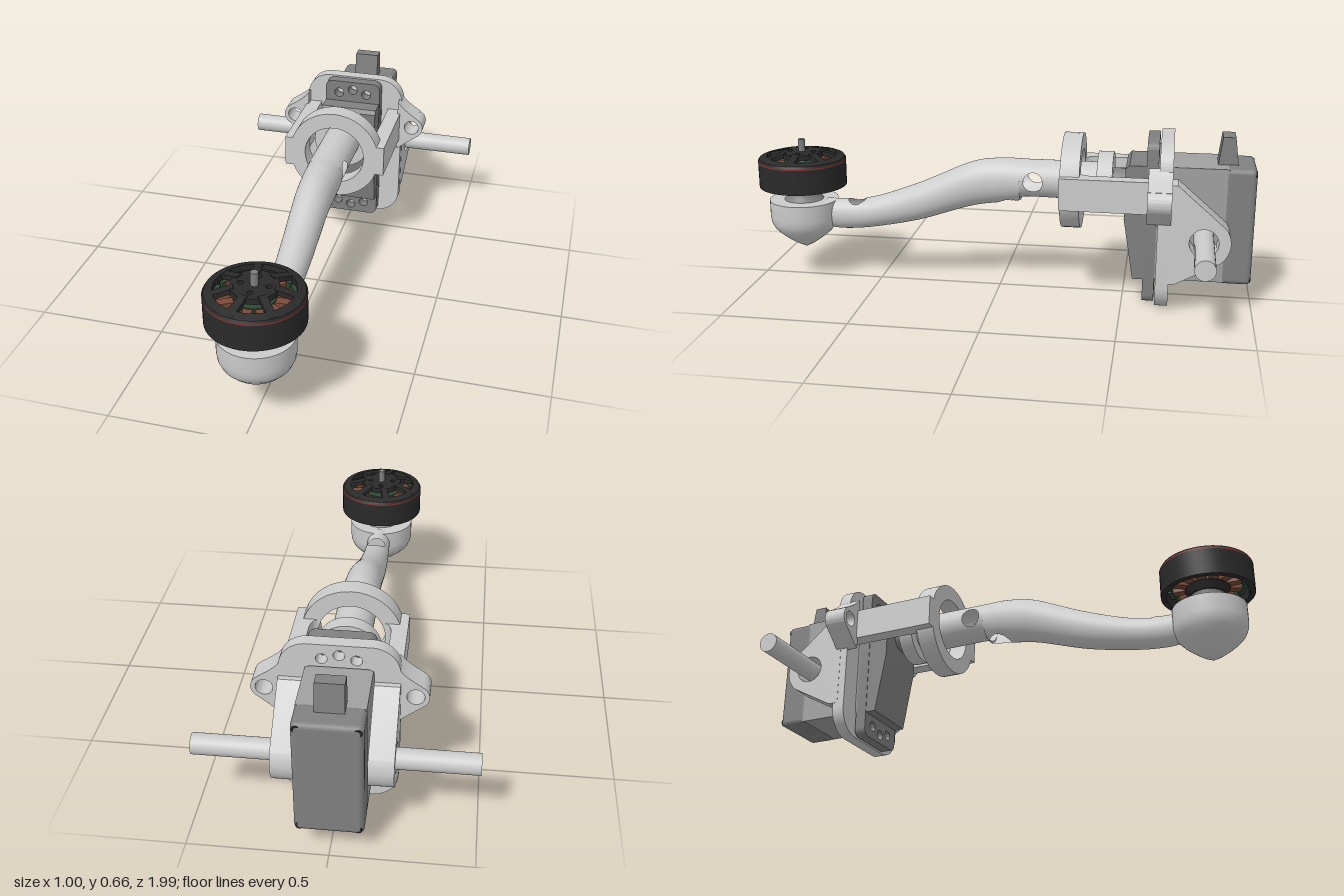
import * as THREE from 'three';
import { RoundedBoxGeometry } from 'three/addons/geometries/RoundedBoxGeometry.js';
import { toCreasedNormals } from 'three/addons/utils/BufferGeometryUtils.js';

const mat = (color) => new THREE.MeshStandardMaterial({ color, side: THREE.DoubleSide });
const grey = mat(0xcccccc), mid = mat(0xa0a0a0), dark = mat(0x808080);
const black = mat(0x2a2a2a), green = mat(0x2f4a35), copper = mat(0x7a4a38), red = mat(0x8a3030);
const V2 = (p) => new THREE.Vector2(p[0], p[1]);
const AXIS_Y = 0.458;

export function createModel() {
  const root = new THREE.Group();

  function add(name, geo, material, x = 0, y = 0, z = 0, parent = root) {
    const m = new THREE.Mesh(geo, material);
    m.name = name;
    m.position.set(x, y, z);
    parent.add(m);
    return m;
  }
  const lathe = (pts, seg = 48) => toCreasedNormals(new THREE.LatheGeometry(pts.map(V2), seg), 0.6);
  const cylZ = (r, len, seg = 40) => new THREE.CylinderGeometry(r, r, len, seg).rotateX(Math.PI / 2);
  const cylX = (r, len, seg = 32) => new THREE.CylinderGeometry(r, r, len, seg).rotateZ(Math.PI / 2);
  const extrude = (shape, depth) =>
    toCreasedNormals(new THREE.ExtrudeGeometry(shape, { depth, bevelEnabled: false, curveSegments: 20 }), 0.5);
  // profile in (-z, y) extruded across x, centred
  const extrudeX = (shape, width) => extrude(shape, width).translate(0, 0, -width / 2).rotateY(Math.PI / 2);

  function roundRect(x0, y0, x1, y1, r, path = new THREE.Shape()) {
    const q = Math.PI / 2;
    path.absarc(x1 - r, y0 + r, r, -q, 0);
    path.absarc(x1 - r, y1 - r, r, 0, q);
    path.absarc(x0 + r, y1 - r, r, q, 2 * q);
    path.absarc(x0 + r, y0 + r, r, 2 * q, 3 * q);
    path.closePath();
    return path;
  }
  const hole = (shape, x, y, r) => shape.holes.push(new THREE.Path().absarc(x, y, r, 0, Math.PI * 2, true));
  const screwHoles = (shape) => {
    for (const [x, y] of [[-0.06, 0.057], [0, 0.04], [0.06, 0.057]]) {
      hole(shape, x, y, 0.02);
      hole(shape, x, 0.65 - y, 0.02);
    }
  };

  // Hollow swept arm with cable and pin holes
  add('arm', armGeometry(), grey);
  add('armFlange', cylZ(0.118, 0.06), grey, 0, AXIS_Y, -0.42);
  add('outputSpline', cylZ(0.055, 0.06, 24), dark, 0, AXIS_Y, -0.475);

  // Pod under the motor
  add('motorPod', lathe([[0, 0.12], [0.04, 0.142], [0.075, 0.167], [0.105, 0.192], [0.126, 0.215],
    [0.137, 0.24], [0.14, 0.265], [0.14, 0.33], [0, 0.33]]), grey, 0, 0, 0.82);
  add('motorNeck', lathe([[0.08, 0.33], [0.066, 0.345], [0.06, 0.365], [0.066, 0.39], [0, 0.39]]), dark, 0, 0, 0.82);

  // Motor
  const motor = new THREE.Group();
  motor.name = 'motor';
  motor.position.z = 0.82;
  root.add(motor);
  add('bell', lathe([[0.155, 0.39], [0.177, 0.39], [0.177, 0.493], [0.155, 0.493], [0.155, 0.39]]), black, 0, 0, 0, motor);
  add('bellLine', new THREE.CylinderGeometry(0.1775, 0.1775, 0.006, 48, 1, true), red, 0, 0.495, 0, motor);
  add('bellRim', lathe([[0.177, 0.497], [0.172, 0.507], [0.142, 0.516], [0.142, 0.493], [0.177, 0.493]]), black, 0, 0, 0, motor);
  const hubShape = new THREE.Shape().absarc(0, 0, 0.085, 0, Math.PI * 2);
  for (let i = 0; i < 4; i++) hole(hubShape, 0.05 * Math.cos(i * Math.PI / 2), 0.05 * Math.sin(i * Math.PI / 2), 0.011);
  add('hub', extrude(hubShape, 0.022).rotateX(-Math.PI / 2), black, 0, 0.508, 0, motor);
  add('shaft', new THREE.CylinderGeometry(0.014, 0.014, 0.19, 16), dark, 0, 0.485, 0, motor);
  for (let i = 0; i < 7; i++) {
    const spoke = new THREE.BoxGeometry(0.1, 0.018, 0.03).rotateZ(-0.25).translate(0.118, 0.512, 0);
    add('spoke', spoke, black, 0, 0, 0, motor).rotation.y = i * Math.PI * 2 / 7;
  }
  add('statorCore', new THREE.CylinderGeometry(0.075, 0.075, 0.07, 32), green, 0, 0.45, 0, motor);
  add('motorBase', new THREE.CylinderGeometry(0.085, 0.07, 0.03, 32), black, 0, 0.4, 0, motor);
  for (let i = 0; i < 12; i++) {
    const tooth = new THREE.Group();
    tooth.name = 'statorTooth';
    tooth.rotation.y = i * Math.PI / 6;
    motor.add(tooth);
    add('winding', new THREE.BoxGeometry(0.06, 0.062, 0.032), copper, 0.1, 0.45, 0, tooth);
    add('toothTip', new THREE.BoxGeometry(0.016, 0.07, 0.06), green, 0.138, 0.45, 0, tooth);
  }

  // Bracket: bearing ring, side arms, plate, ears, axle tabs
  const ring = new THREE.Shape().absarc(0, 0, 0.188, 0, Math.PI * 2);
  hole(ring, 0, 0, 0.125);
  add('bearingRing', extrude(ring, 0.075), grey, 0, AXIS_Y, -0.33);

  const plate = roundRect(-0.21, 0, 0.21, 0.65, 0.1);
  plate.holes.push(roundRect(-0.12, 0.1, 0.12, 0.56, 0.02, new THREE.Path()));
  screwHoles(plate);
  add('mountPlate', extrude(plate, 0.05), grey, 0, 0, -0.68);

  for (const s of [1, -1]) {
    // side arm with inner fillet at the ring
    const sideArm = new THREE.Shape();
    sideArm.moveTo(s * 0.21, 0.255);
    sideArm.lineTo(s * 0.21, 0.66);
    sideArm.lineTo(s * 0.15, 0.66);
    sideArm.lineTo(s * 0.15, 0.4);
    sideArm.quadraticCurveTo(s * 0.152, 0.34, s * 0.125, 0.33);
    sideArm.lineTo(s * 0.14, 0.255);
    sideArm.closePath();
    add('sideArm', extrude(sideArm, 0.125).rotateX(-Math.PI / 2), grey, 0, 0.392, 0);

    // ear with screw hole
    const ear = new THREE.Shape();
    ear.moveTo(s * 0.2, 0.57);
    ear.lineTo(s * 0.21, 0.56);
    ear.quadraticCurveTo(s * 0.23, 0.535, s * 0.285, 0.501);
    ear.absarc(s * 0.263, 0.457, 0.048, s > 0 ? 1.1 : Math.PI - 1.1, s > 0 ? -0.95 : Math.PI + 0.95, s > 0);
    ear.lineTo(s * 0.21, 0.355);
    ear.lineTo(s * 0.2, 0.35);
    ear.closePath();
    hole(ear, s * 0.263, 0.457, 0.031);
    add('ear', extrude(ear, 0.09), grey, 0, 0, -0.68);

    // axle tab and axle rod
    const tab = new THREE.Shape();
    tab.moveTo(0.66, 0.51);
    tab.lineTo(0.7, 0.51);
    tab.absarc(0.805, 0.29, 0.1, 0.62, -0.9, true);
    tab.lineTo(0.7, 0.12);
    tab.lineTo(0.66, 0.12);
    tab.closePath();
    hole(tab, 0.805, 0.29, 0.055);
    add('axleTab', extrudeX(tab, 0.09), grey, s * 0.166, 0, 0);
    add('axleRod', cylX(0.0385, 0.38), grey, s * 0.31, 0.288, -0.805);
  }

  // Servo
  const nose = new THREE.Shape([[0.5, 0.54], [0.5, 0.34], [0.54, 0.1], [0.6, 0.1], [0.6, 0.555], [0.515, 0.555]].map(V2));
  add('servoNose', extrudeX(nose, 0.236), dark);
  const flange = roundRect(-0.12, 0.004, 0.12, 0.646, 0.03);
  screwHoles(flange);
  add('servoFlange', extrude(flange, 0.045), dark, 0, 0, -0.625);
  add('servoBody', new THREE.BoxGeometry(0.236, 0.45, 0.3), mid, 0, 0.33, -0.74);
  add('servoCap', new RoundedBoxGeometry(0.24, 0.458, 0.12, 3, 0.02), dark, 0, 0.327, -0.932);
  for (const x of [-0.1, 0.1]) for (const y of [0.12, 0.534]) {
    add('capScrew', cylZ(0.014, 0.012, 16), black, x, y, -0.985);
  }
  const plug = new THREE.Shape([[0.845, 0.54], [0.86, 0.662], [0.908, 0.662], [0.925, 0.54]].map(V2));
  add('cablePlug', extrudeX(plug, 0.1), dark);

  return root;
}

// Arm skin between a top and a bottom rail; vertices near a hole are moved to its rim
function armGeometry() {
  // z, centre y, half height, half width
  const sections = [[0.72, 0.275, 0.06, 0.05], [0.64, 0.273, 0.062, 0.052], [0.52, 0.287, 0.063, 0.057],
    [0.33, 0.341, 0.077, 0.064], [0.12, 0.422, 0.09, 0.07], [0, 0.444, 0.09, 0.074], [-0.08, 0.45, 0.084, 0.075],
    [-0.1, 0.458, 0.075, 0.075], [-0.25, 0.458, 0.075, 0.075], [-0.4, 0.458, 0.075, 0.075]];
  const rail = (s) => new THREE.CatmullRomCurve3(
    sections.map(([z, y, h, w]) => new THREE.Vector3(w, y + s * h, z)), false, 'catmullrom', 0.5);
  const top = rail(1), bottom = rail(-1);
  // along which axis, centre, radius, which side (0 = both)
  const holes = [
    { axis: 'x', z: -0.14, c: AXIS_Y, r: 0.038, side: 0 },
    { axis: 'y', z: 0.59, c: 0, r: 0.038, side: 1 },
    { axis: 'y', z: -0.035, c: 0, r: 0.045, side: -1 },
  ];
  const N = 240, M = 72, pos = [], inside = [], idx = [];
  for (let i = 0; i <= N; i++) {
    const a = top.getPoint(i / N), b = bottom.getPoint(i / N);
    for (let j = 0; j < M; j++) {
      const t = j / M * Math.PI * 2;
      const p = { x: a.x * Math.cos(t), y: (a.y + b.y) / 2 + (a.y - b.y) / 2 * Math.sin(t), z: a.z };
      let within = false;
      for (const h of holes) {
        if (h.side && h.side * Math.sin(t) < 0) continue;
        const k = h.axis === 'x' ? 'y' : 'x';
        const dz = p.z - h.z, dk = p[k] - h.c, d = Math.hypot(dz, dk);
        if (d < h.r) {
          within = true;
          if (d > h.r * 0.6) {
            p.z = h.z + dz * h.r / d;
            p[k] = h.c + dk * h.r / d;
          }
        }
      }
      pos.push(p.x, p.y, p.z);
      inside.push(within);
    }
  }
  const tri = (a, b, c) => { if (!(inside[a] && inside[b] && inside[c])) idx.push(a, b, c); };
  for (let i = 0; i < N; i++) for (let j = 0; j < M; j++) {
    const a = i * M + j, b = i * M + (j + 1) % M, c = a + M, d = b + M;
    tri(a, c, b);
    tri(b, c, d);
  }
  // flip so that faces point outward
  for (let i = 0; i < idx.length; i += 3) [idx[i + 1], idx[i + 2]] = [idx[i + 2], idx[i + 1]];
  const g = new THREE.BufferGeometry();
  g.setAttribute('position', new THREE.Float32BufferAttribute(pos, 3));
  g.setIndex(idx);
  g.computeVertexNormals();
  return g;
}
